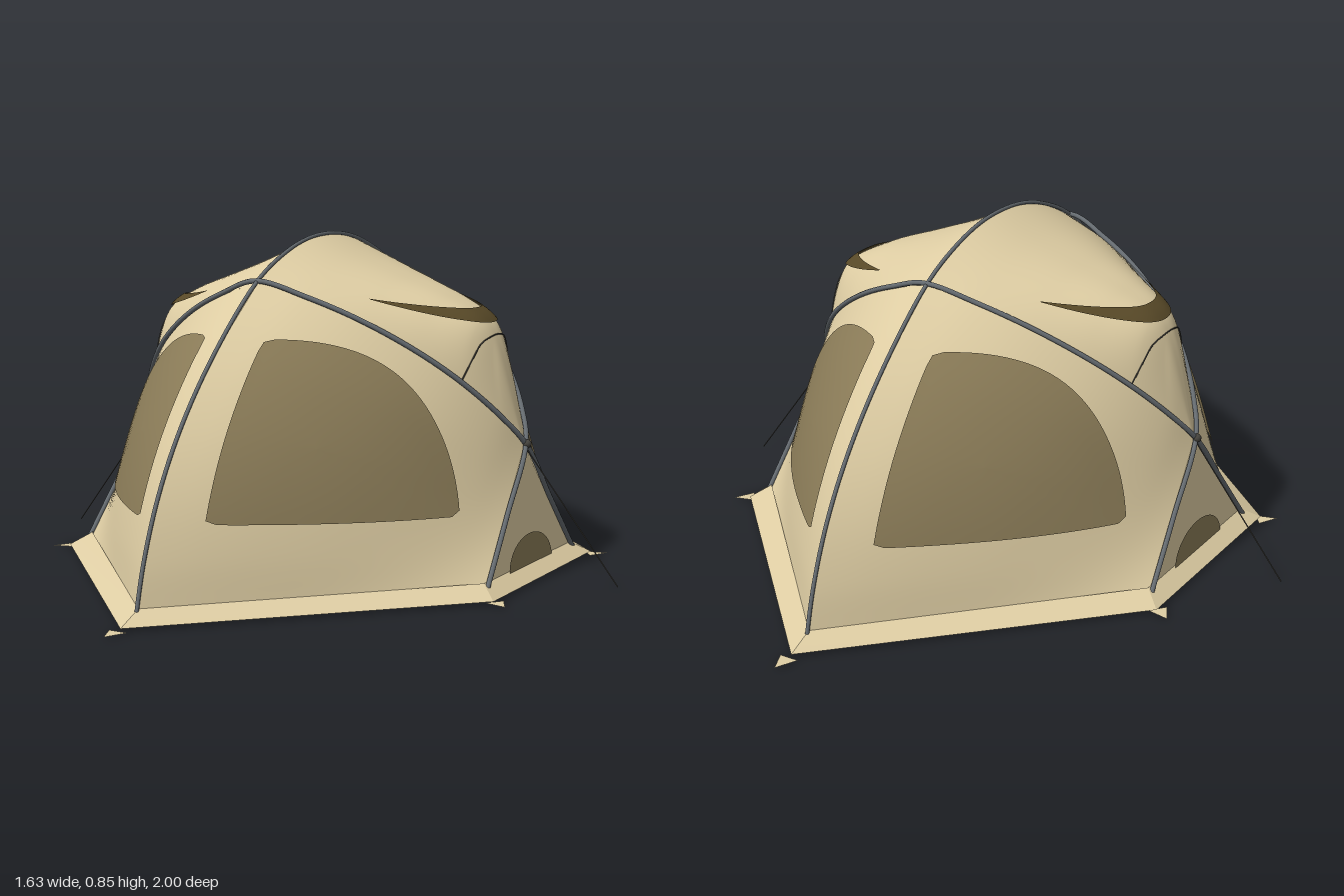
import * as THREE from 'three';

const V = (x, y, z) => new THREE.Vector3(x, y, z);
const material = (name, color, side = THREE.DoubleSide) => {
  const m = new THREE.MeshStandardMaterial({ color, side });
  m.name = name;
  return m;
};

export function createModel() {
  const fabric = material('tan fabric', 0xdfcea4);
  const mesh = material('window mesh', 0x8b7c58);
  const vent = material('dark vent', 0x594a28);
  const steel = material('pole grey', 0x666c71, THREE.FrontSide);
  const cord = material('dark cord', 0x46443e, THREE.FrontSide);

  const model = new THREE.Group();
  model.name = 'domeTent';

  const add = (parent, name, geometry, mat) => {
    const m = new THREE.Mesh(geometry, mat);
    m.name = name;
    parent.add(m);
    return m;
  };

  // Smooth surface sampled from f(u, v)
  const surface = (f, nu, nv) => {
    const pos = [], index = [];
    for (let j = 0; j <= nv; j++) {
      for (let i = 0; i <= nu; i++) {
        pos.push(...f(i / nu, j / nv).toArray());
        if (i < nu && j < nv) {
          const a = j * (nu + 1) + i, b = a + nu + 1;
          index.push(a, a + 1, b + 1, a, b + 1, b);
        }
      }
    }
    const g = new THREE.BufferGeometry();
    g.setAttribute('position', new THREE.Float32BufferAttribute(pos, 3));
    g.setIndex(index);
    g.computeVertexNormals();
    return g;
  };

  // Find the point of surface f whose coordinates on axes h and k are a and b
  const locate = (f, h, k, a, b, u, v, uMin) => {
    for (let i = 0; i < 20; i++) {
      const eu = u > 0.5 ? -1e-3 : 1e-3, ev = v > 0.5 ? -1e-3 : 1e-3;
      const p = f(u, v), du = f(u + eu, v).sub(p).divideScalar(eu), dv = f(u, v + ev).sub(p).divideScalar(ev);
      const det = du[h] * dv[k] - dv[h] * du[k], ra = a - p[h], rb = b - p[k];
      u = THREE.MathUtils.clamp(u + (dv[k] * ra - dv[h] * rb) / det, uMin, 0.995);
      v = THREE.MathUtils.clamp(v + (du[h] * rb - du[k] * ra) / det, 0.01, 0.99);
    }
    return f(u, v);
  };

  // Move a point slightly outwards from the inside of the tent
  const push = (p, d) => p.clone().add(p.clone().sub(V(0, 0.15, 0)).normalize().multiplyScalar(d));
  const tube = (pts, r, n = 48) =>
    new THREE.TubeGeometry(new THREE.CatmullRomCurve3(pts), n, r, 8);

  // Frame curves, for the +x +z quarter
  const poleAt = (x, y) => V(x, y, (y - 0.335) / 1.165);
  const pole = new THREE.CatmullRomCurve3([[0, 0.74], [0.12, 0.703], [0.24, 0.65], [0.36, 0.575],
    [0.45, 0.497], [0.52, 0.41], [0.56, 0.335]].map(([x, y]) => poleAt(x, y)));
  const ridge = new THREE.CatmullRomCurve3([[0.87, 0.03], [0.84, 0.14], [0.78, 0.28], [0.69, 0.42],
    [0.55, 0.575], [0.348, 0.74]].map(([z, y]) => V(0, y, z)));
  const roofLine = new THREE.CatmullRomCurve3([[0, 0.84], [0.12, 0.785], [0.24, 0.74], [0.36, 0.697],
    [0.452, 0.648], [0.488, 0.595], [0.56, 0.335]].map(([x, y]) => V(x, y, 0)));
  const cornerBase = V(0.58, 0.03, 0.262), frontBase = V(0, 0.03, 0.87), hub = V(0.56, 0.335, 0);

  // Corner wall blended between its four edges
  const wall = (u, v) => {
    const bottom = frontBase.clone().lerp(cornerBase, u), top = pole.getPoint(u);
    const left = ridge.getPoint(v), right = cornerBase.clone().lerp(hub, v);
    const flat = bottom.clone().lerp(ridge.getPoint(1).lerp(hub, u), v);
    return bottom.lerp(top, v).add(left.lerp(right, u)).sub(flat);
  };

  // Window outline: straight sides with an arched outer top
  const outline = new THREE.Path();
  outline.moveTo(0.09, 0.225);
  outline.lineTo(0.081, 0.6);
  outline.quadraticCurveTo(0.082, 0.612, 0.095, 0.612);
  outline.bezierCurveTo(0.3, 0.61, 0.44, 0.5, 0.5, 0.2);
  outline.quadraticCurveTo(0.5, 0.193, 0.49, 0.193);
  outline.quadraticCurveTo(0.3, 0.2, 0.11, 0.215);
  outline.lineTo(0.09, 0.225);
  const rim = outline.getSpacedPoints(72);
  const windowPoint = (u, v) => {
    const p = rim[Math.round(u * 72)];
    const x = 0.25 + (p.x - 0.25) * v, y = 0.37 + (p.y - 0.37) * v;
    return push(locate(wall, 'x', 'y', x, y, 0.4, 0.5, 0.01), 0.005);
  };

  const wallGeo = surface(wall, 28, 28);
  const windowGeo = surface(windowPoint, 72, 8);
  const skirtGeo = surface((u, v) => V(0, 0.04, 0.868).lerp(V(0.578, 0.04, 0.265), u)
    .lerp(V(0, 0.01, 0.937).lerp(V(0.622, 0.01, 0.305), u), v), 1, 1);
  const sideSkirtGeo = surface((u, v) =>
    V(0.578 + 0.044 * v, 0.04 - 0.03 * v, (u * 2 - 1) * (0.265 + 0.04 * v)), 1, 1);
  const stakeGeo = new THREE.ShapeGeometry(new THREE.Shape([
    new THREE.Vector2(-0.025, 0), new THREE.Vector2(0.025, 0), new THREE.Vector2(0, 0.055)]));
  stakeGeo.rotateX(Math.PI / 2);

  // Four mirrored quarters: wall, window, skirt, corner stake
  for (const sx of [1, -1]) {
    for (const sz of [1, -1]) {
      const q = new THREE.Group();
      q.name = `${sz > 0 ? 'front' : 'back'}${sx > 0 ? 'Left' : 'Right'}Quarter`;
      q.scale.set(sx, 1, sz);
      add(q, 'cornerWall', wallGeo, fabric);
      add(q, 'window', windowGeo, mesh);
      add(q, 'groundSkirt', skirtGeo, fabric);
      const stake = add(q, 'cornerStake', stakeGeo, fabric);
      stake.position.set(0.618, 0.006, 0.292);
      stake.rotation.y = 0.9;
      model.add(q);
    }
  }
  for (const s of [1, -1]) {
    const stake = add(model, s > 0 ? 'frontStake' : 'backStake', stakeGeo, fabric);
    stake.position.set(0, 0.006, 0.945 * s);
    stake.rotation.y = s > 0 ? 0 : Math.PI;
  }

  // Roof section across z (s from -1 to 1), from the ridge down to the hub (t)
  const roof = (s, t) => {
    const a = pole.getPoint(t), c = roofLine.getPoint(t), w = 1 - Math.abs(s) ** (2 + 1.5 * t);
    return V(a.x + (c.x - a.x) * w, a.y + (c.y - a.y) * w, a.z * s);
  };
  const sidePoint = (z, y, d = 0) => V(0.58 - (y - 0.03) * 0.0656 + d, y, z);

  const roofGeo = surface((u, v) => roof(u * 2 - 1, v), 40, 60);
  const crescentGeo = surface((u, v) => {
    const s = u * 2 - 1, z = s * 0.21, q = s * s;
    const y = THREE.MathUtils.lerp(0.667 + 0.029 * q, 0.632 + 0.062 * q, v);
    return push(locate(roof, 'z', 'y', z, y, s * 0.8, 0.6 - 0.25 * q, -0.995), 0.006);
  }, 40, 4);
  const seamSide = [[0.136, 0.503], [0.1, 0.555], [0.07, 0.588], [0.035, 0.602]];
  const seamGeo = tube([...seamSide, [0, 0.606], ...seamSide.map(([z, y]) => [-z, y]).reverse()]
    .map(([z, y]) => push(locate(roof, 'z', 'y', z, y, z / 0.14, 0.73, -0.995), 0.002)), 0.0018);
  const sideGeo = surface((u, v) => sidePoint((u * 2 - 1) * 0.262 * (1 - v), 0.03 + 0.305 * v), 2, 2);
  const lowVentGeo = surface((u, v) =>
    sidePoint(0.13 * v * Math.cos(u * Math.PI), 0.035 + 0.078 * v * Math.sin(u * Math.PI), 0.005), 24, 1);
  const guyGeo = tube([hub, V(0.6875, 0.169, 0), V(0.815, 0.003, 0)], 0.0016, 2);
  const hubGeo = new THREE.SphereGeometry(0.011, 12, 8);

  // Both sides: roof half, vents, arch seam, lower triangle, skirt, guy line
  for (const sx of [1, -1]) {
    const half = new THREE.Group();
    half.name = sx > 0 ? 'leftSide' : 'rightSide';
    half.scale.x = sx;
    add(half, 'roofPanel', roofGeo, fabric);
    add(half, 'crescentVent', crescentGeo, vent);
    add(half, 'archSeam', seamGeo, cord);
    add(half, 'sidePanel', sideGeo, fabric);
    add(half, 'sideSkirt', sideSkirtGeo, fabric);
    add(half, 'lowVent', lowVentGeo, mesh);
    add(half, 'guyLine', guyGeo, cord);
    add(half, 'poleHub', hubGeo, cord).position.set(0.569, 0.338, 0);
    model.add(half);
  }

  // Ridge arch
  const lower = ridge.points.map((p) => push(p, 0.005));
  const upper = [0.62, 0.3].map((s) => push(roof(s, 0), 0.005));
  const halfArch = [V(0, 0.008, 0.878), ...lower, ...upper];
  const flipZ = (p) => V(p.x, p.y, -p.z);
  add(model, 'ridgePole', tube([...halfArch, V(0, 0.844, 0),
    ...halfArch.map(flipZ).reverse()], 0.005, 96), steel);

  // Two leaning arches that cross at the side hubs
  const halfLean = [V(0.588, 0.01, -0.279), V(0.577, 0.18, -0.133),
    ...pole.points.slice(1).reverse().map((p) => push(p, 0.006))];
  const lean = [...halfLean, push(pole.points[0], 0.006),
    ...halfLean.map((p) => V(-p.x, p.y, p.z)).reverse()];
  add(model, 'frontCrossPole', tube(lean, 0.0065, 120), steel);
  add(model, 'backCrossPole', tube(lean.map(flipZ), 0.0065, 120), steel);

  return model;
}
